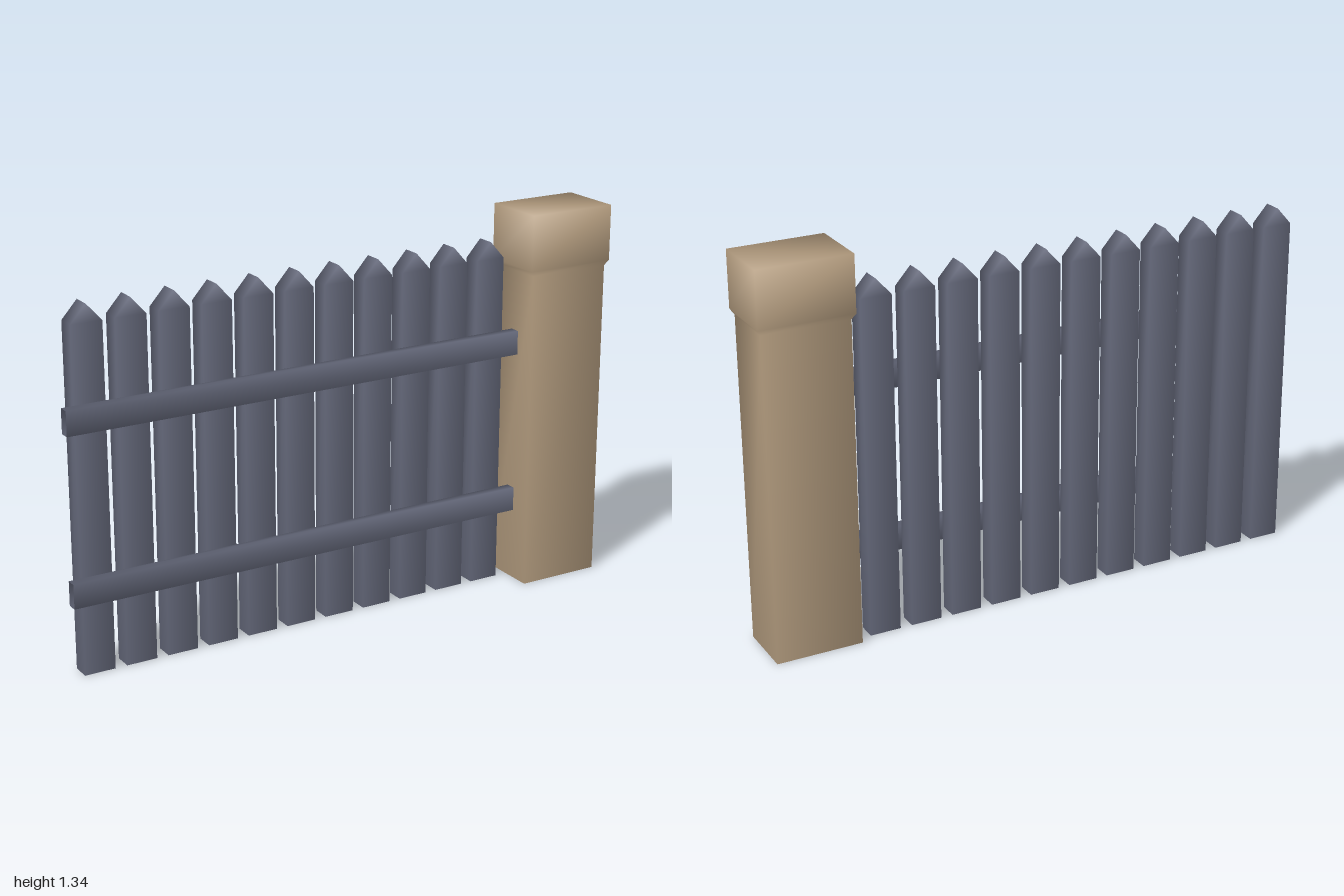
import * as THREE from 'three';
import { mergeVertices } from 'three/addons/utils/BufferGeometryUtils.js';

// Stack of rectangular sections [y, width, depth], softly shaded, open below
function loft(sections, capTop) {
  const pos = [], index = [];
  for (const [y, w, d] of sections) {
    for (const [sx, sz] of [[1, 1], [1, -1], [-1, -1], [-1, 1]]) pos.push(sx * w / 2, y, sz * d / 2);
  }
  for (let s = 0; s < sections.length - 1; s++) {
    for (let i = 0; i < 4; i++) {
      const a = s * 4 + i, b = s * 4 + (i + 1) % 4;
      index.push(a, b, b + 4, a, b + 4, a + 4);
    }
  }
  if (capTop) {
    const t = (sections.length - 1) * 4;
    index.push(t, t + 1, t + 2, t, t + 2, t + 3);
  }
  let geo = new THREE.BufferGeometry();
  geo.setAttribute('position', new THREE.Float32BufferAttribute(pos, 3));
  geo.setIndex(index);
  geo = mergeVertices(geo);
  geo.computeVertexNormals();
  return geo;
}

export function createModel() {
  const group = new THREE.Group();
  group.name = 'fence';
  const slate = new THREE.MeshStandardMaterial({ color: 0x666a7c, side: THREE.DoubleSide });
  slate.name = 'slate paint';
  const tan = new THREE.MeshStandardMaterial({ color: 0xb29b7e, side: THREE.DoubleSide });
  tan.name = 'tan stone';

  const add = (name, geo, mat, x, y, z) => {
    const mesh = new THREE.Mesh(geo, mat);
    mesh.name = name;
    mesh.position.set(x, y, z);
    group.add(mesh);
  };

  // Pickets with gabled tips
  const picket = loft([[0, 0.108, 0.064], [1.17, 0.108, 0.064], [1.23, 0, 0.064]], false);
  for (let i = 0; i < 11; i++) add('picket' + (i + 1), picket, slate, -0.904 + i * 0.1495, 0, -0.043);

  // Horizontal rails running into the post
  const rail = loft([[0, 0.084, 0.036], [1.69, 0.084, 0.036]], false).rotateZ(-Math.PI / 2);
  add('lowerRail', rail, slate, -1, 0.296, 0.007);
  add('upperRail', rail, slate, -1, 0.87, 0.007);

  // Post with its flared cap
  const post = loft([[0, 0.299, 0.209], [1.123, 0.299, 0.209], [1.142, 0.324, 0.229], [1.335, 0.324, 0.229]], true);
  add('post', post, tan, 0.837, 0, 0);

  return group;
}
